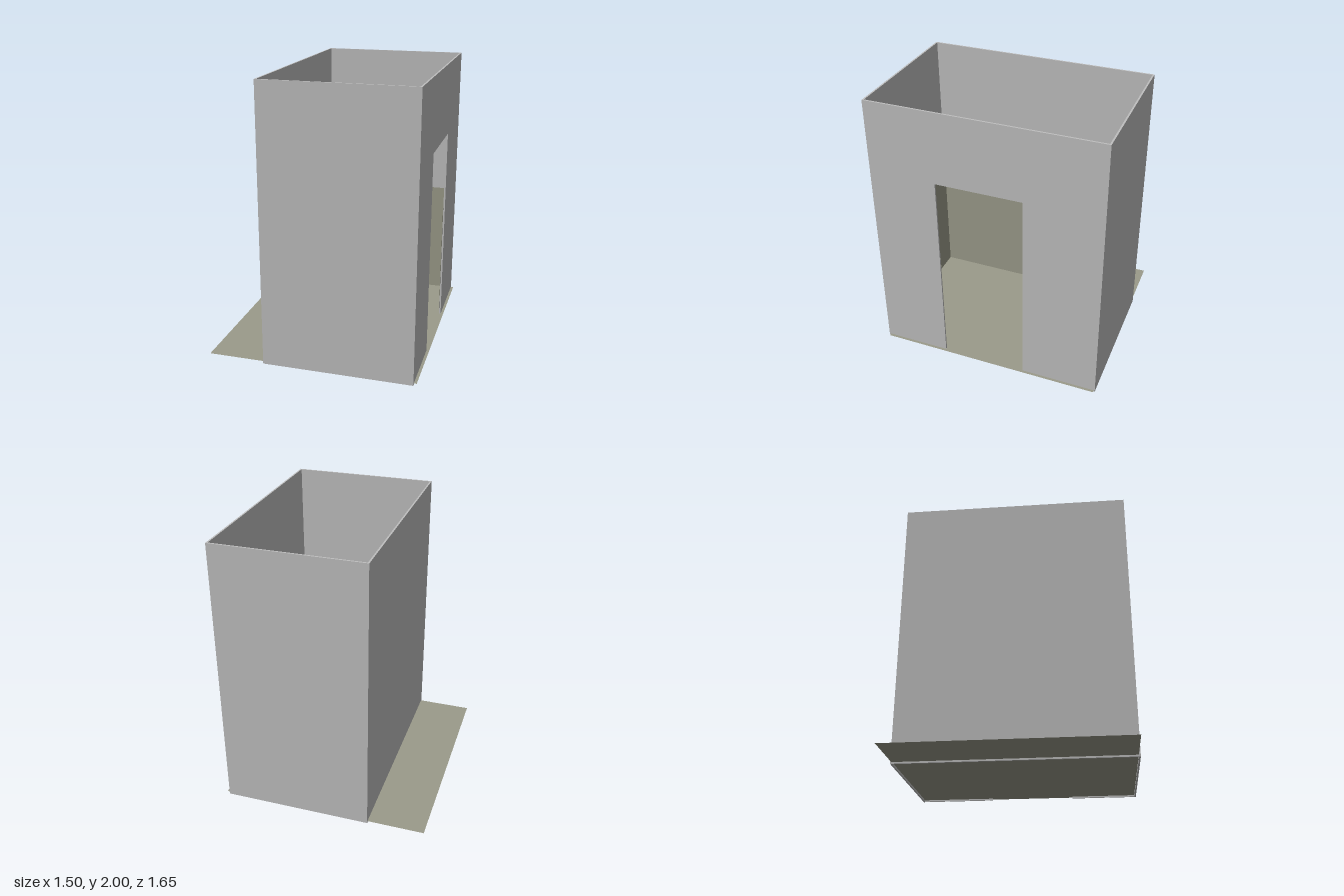
import * as THREE from 'three';

const X0 = -0.34, X1 = 0.73, Z0 = -0.83, Z1 = 0.825; // outer wall faces
const T = 0.012, H = 2, FLOOR_Y = 0.012, LINING_TOP = 0.89;
const DOOR = { z0: -0.28, z1: 0.34, top: 1.475 };

export function createModel() {
  const group = new THREE.Group();
  const wallGrey = new THREE.MeshStandardMaterial({ color: 0xbfbfbf });
  wallGrey.name = 'wallGrey';
  const olive = new THREE.MeshStandardMaterial({ color: 0x9b9b8a, side: THREE.DoubleSide });
  olive.name = 'oliveGrey';

  const add = (name, geometry, material, x, y, z) => {
    const mesh = new THREE.Mesh(geometry, material);
    mesh.name = name;
    mesh.position.set(x, y, z);
    group.add(mesh);
    return mesh;
  };

  const midX = (X0 + X1) / 2, midZ = (Z0 + Z1) / 2;
  const width = X1 - X0, depth = Z1 - Z0;

  // Three plain walls
  add('frontWall', new THREE.BoxGeometry(width, H, T), wallGrey, midX, H / 2, Z1 - T / 2);
  add('backWall', new THREE.BoxGeometry(width, H, T), wallGrey, midX, H / 2, Z0 + T / 2);
  add('plainSideWall', new THREE.BoxGeometry(T, H, depth - 2 * T), wallGrey, X0 + T / 2, H / 2, midZ);

  // Side wall with the doorway, drawn in z and y, then turned to face +x
  const outline = new THREE.Shape([
    [Z0 + T, 0], [DOOR.z0, 0], [DOOR.z0, DOOR.top], [DOOR.z1, DOOR.top],
    [DOOR.z1, 0], [Z1 - T, 0], [Z1 - T, H], [Z0 + T, H],
  ].map(([z, y]) => new THREE.Vector2(z, y)));
  const doorWall = new THREE.ExtrudeGeometry(outline, { depth: T, bevelEnabled: false });
  doorWall.rotateY(-Math.PI / 2);
  add('doorwayWall', doorWall, wallGrey, X1, 0, 0);

  // Floor sheet, reaching out past the walls
  const floor = new THREE.PlaneGeometry(1.5, 1.635).rotateX(-Math.PI / 2);
  add('floor', floor, olive, 0, FLOOR_Y, -0.005);

  // Painted lower band on the inside of the walls
  const gap = T + 0.002;
  const bandH = LINING_TOP - FLOOR_Y, bandY = (LINING_TOP + FLOOR_Y) / 2;
  const band = (name, length, turn, x, z) =>
    add(name, new THREE.PlaneGeometry(length, bandH).rotateY(turn), olive, x, bandY, z);
  band('frontLining', width - 2 * gap, Math.PI, midX, Z1 - gap);
  band('backLining', width - 2 * gap, 0, midX, Z0 + gap);
  band('plainSideLining', depth - 2 * gap, Math.PI / 2, X0 + gap, midZ);
  for (const [name, a, b] of [
    ['doorwayLiningBack', Z0 + gap, DOOR.z0],
    ['doorwayLiningFront', DOOR.z1, Z1 - gap],
  ]) band(name, b - a, -Math.PI / 2, X1 - gap, (a + b) / 2);

  return group;
}
